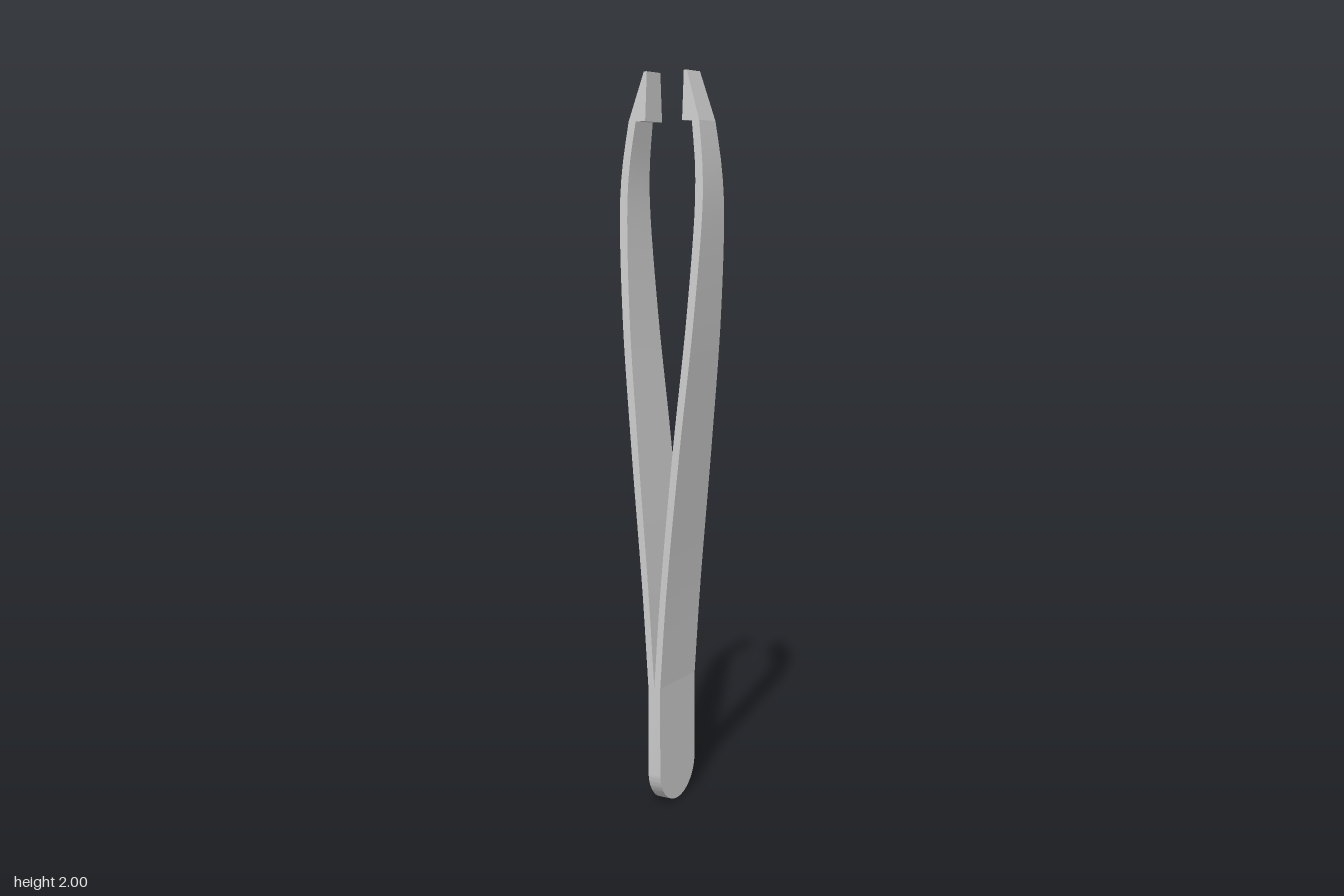
import * as THREE from 'three';
import { toCreasedNormals } from 'three/addons/utils/BufferGeometryUtils.js';

const R = 0.098;      // half width of the handle
const T = 0.0187;     // thickness of one arm at the handle
const SEAM = 0.34;    // height where the arms part

// Solid through rectangular sections [y, inner x, outer x, half depth], on side s (+1 or -1)
function loft(sections, s) {
  const pos = [], idx = [];
  for (const [y, a, b, h] of sections) {
    pos.push(s * a, y, h, s * b, y, h, s * b, y, -h, s * a, y, -h);
  }
  const quad = (a, b, c, d) => s > 0 ? idx.push(a, b, c, a, c, d) : idx.push(a, c, b, a, d, c);
  for (let i = 0; i < sections.length - 1; i++) {
    for (let k = 0; k < 4; k++) {
      const n = (k + 1) % 4, o = i * 4;
      quad(o + k, o + n, o + 4 + n, o + 4 + k);
    }
  }
  const e = (sections.length - 1) * 4;
  quad(3, 2, 1, 0);
  quad(e, e + 1, e + 2, e + 3);
  const g = new THREE.BufferGeometry();
  g.setAttribute('position', new THREE.Float32BufferAttribute(pos, 3));
  g.setIndex(idx);
  return toCreasedNormals(g, 0.5);
}

export function createModel() {
  const group = new THREE.Group();
  const material = new THREE.MeshStandardMaterial({ color: 0xcccccc });
  const add = (geometry, name) => {
    const mesh = new THREE.Mesh(geometry, material);
    mesh.name = name;
    group.add(mesh);
  };

  // Handle: flat strip with a rounded bottom end
  const shape = new THREE.Shape();
  shape.moveTo(R, SEAM);
  shape.lineTo(-R, SEAM);
  shape.lineTo(-R, R);
  shape.absarc(0, R, R, Math.PI, 2 * Math.PI, false);
  shape.closePath();
  const handle = new THREE.ExtrudeGeometry(shape, { depth: 2 * T, bevelEnabled: false, curveSegments: 24 });
  handle.translate(0, 0, -T).rotateY(Math.PI / 2);
  add(toCreasedNormals(handle, 0.5), 'handle');

  // Bowed arm: smooth curves of the outer and inner faces and of the half depth
  const keys = [
    [SEAM, 0, T, R],
    [0.6, 0.018, 0.037, 0.097],
    [1.0, 0.054, 0.075, 0.091],
    [1.35, 0.087, 0.109, 0.077],
    [1.65, 0.103, 0.126, 0.06],
    [1.76, 0.099, 0.121, 0.053],
    [1.87, 0.085, 0.107, 0.045],
  ];
  const curve = j => new THREE.CatmullRomCurve3(keys.map(k => new THREE.Vector3(k[j], k[0], 0)));
  const curves = [1, 2, 3].map(curve);
  // Sample each curve at equal heights by bisection
  const at = (c, y) => {
    let lo = 0, hi = 1;
    for (let i = 0; i < 30; i++) {
      const m = (lo + hi) / 2;
      if (c.getPoint(m).y < y) lo = m; else hi = m;
    }
    return c.getPoint(hi).x;
  };
  const arm = [];
  for (let i = 0; i <= 30; i++) {
    const y = SEAM + (1.87 - SEAM) * i / 30;
    arm.push([y, ...curves.map(c => at(c, y))]);
  }

  // Thick gripping tip, bevelled on the outside
  const tip = [[1.87, 0.056, 0.107, 0.045], [2, 0.056, 0.065, 0.036]];

  for (const [s, side] of [[1, 'left'], [-1, 'right']]) {
    add(loft(arm, s), side + 'Arm');
    add(loft(tip, s), side + 'Tip');
  }
  return group;
}
